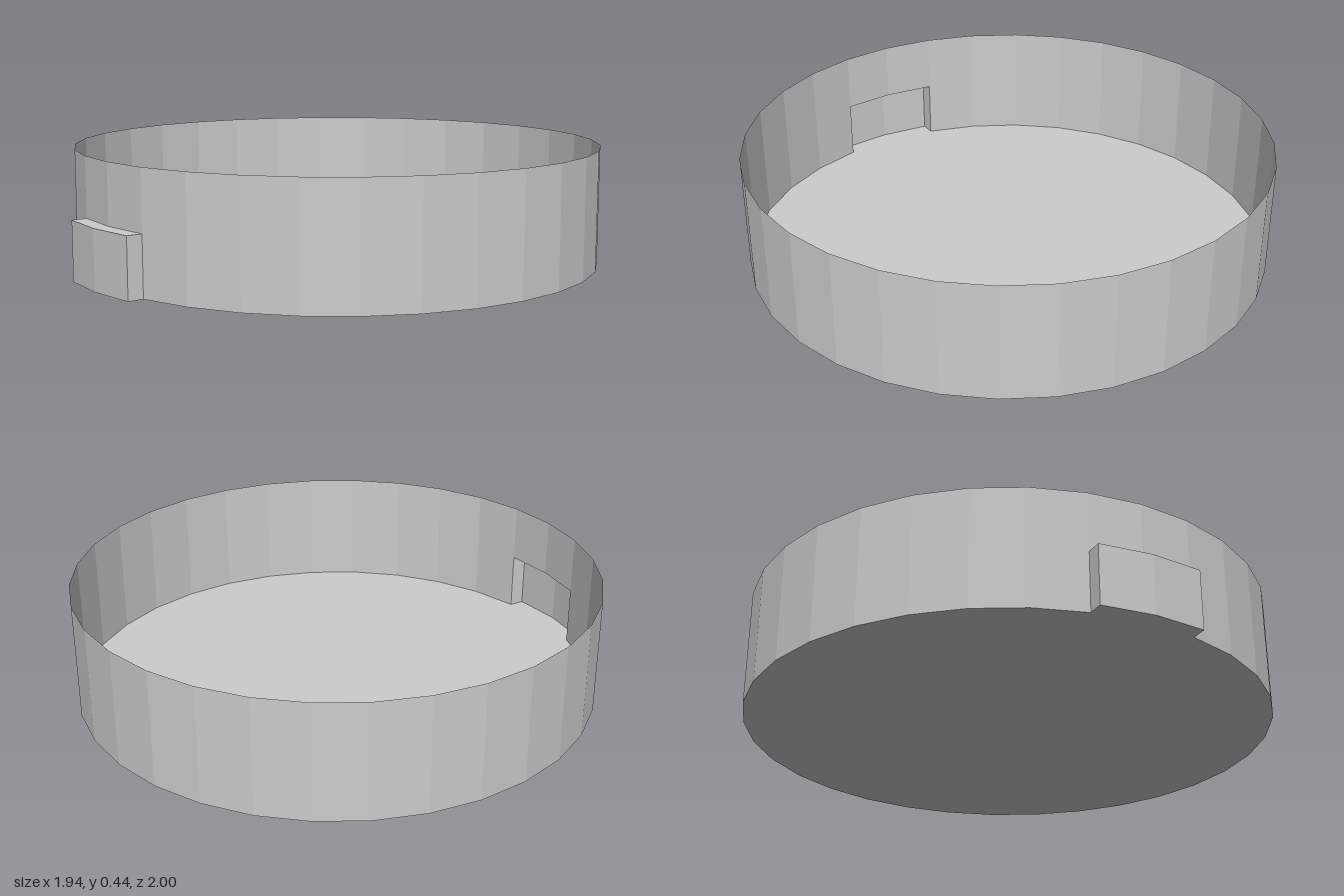
import * as THREE from 'three';

const R = 0.972, H = 0.435;          // tray radius and height
const SIDES = 32, STEP = (Math.PI * 2) / SIDES;
const CZ = -0.029;                   // tray centre, offset by the pocket depth
const POCKET_H = 0.217, DEPTH = 0.057;

export function createModel() {
  const group = new THREE.Group();
  const material = new THREE.MeshStandardMaterial({
    color: 0xcccccc, flatShading: true, side: THREE.DoubleSide,
  });

  const add = (name, geometry, y = 0, z = CZ) => {
    const mesh = new THREE.Mesh(geometry, material);
    mesh.name = name;
    mesh.position.set(0, y, z);
    group.add(mesh);
  };

  // Upright arc of flat panels; panel 0 starts at the front centre
  const addWall = (name, first, count, y0, y1, z = CZ) =>
    add(name, new THREE.CylinderGeometry(R, R, y1 - y0, count, 1, true,
      first * STEP, count * STEP), (y0 + y1) / 2, z);

  // Horizontal sheet from [x, z] corners; turned to face up or down
  const sheet = (corners, up) => {
    const points = corners.map(([x, z]) => new THREE.Vector2(x, up ? -z : z));
    return new THREE.ShapeGeometry(new THREE.Shape(points))
      .rotateX(up ? -Math.PI / 2 : Math.PI / 2);
  };

  const rim = (i, dz = 0) => [R * Math.sin(i * STEP), R * Math.cos(i * STEP) + dz];

  // Thin wall: full height all round, upper half only above the pocket
  addWall('wall', 1, SIDES - 2, 0, H);
  addWall('wallAbovePocket', -1, 2, POCKET_H, H);

  // Floor, bulging out into the pocket at the front
  const outline = [rim(-1, DEPTH), rim(0, DEPTH), rim(1, DEPTH)];
  for (let i = 1; i < SIDES; i++) outline.push(rim(i));
  add('floor', sheet(outline, false));

  // Pocket pushed out of the front wall, open to the inside
  addWall('pocketFront', -1, 2, 0, POCKET_H, CZ + DEPTH);
  add('pocketTop', sheet([
    rim(-1, DEPTH), rim(0, DEPTH), rim(1, DEPTH), rim(1), rim(0), rim(-1),
  ], true), POCKET_H);
  for (const s of [-1, 1]) {
    const [x, z] = rim(s);
    const side = new THREE.PlaneGeometry(DEPTH, POCKET_H)
      .rotateY(s * Math.PI / 2)
      .translate(x, POCKET_H / 2, z + DEPTH / 2);
    add(s > 0 ? 'pocketLeftSide' : 'pocketRightSide', side);
  }

  return group;
}
